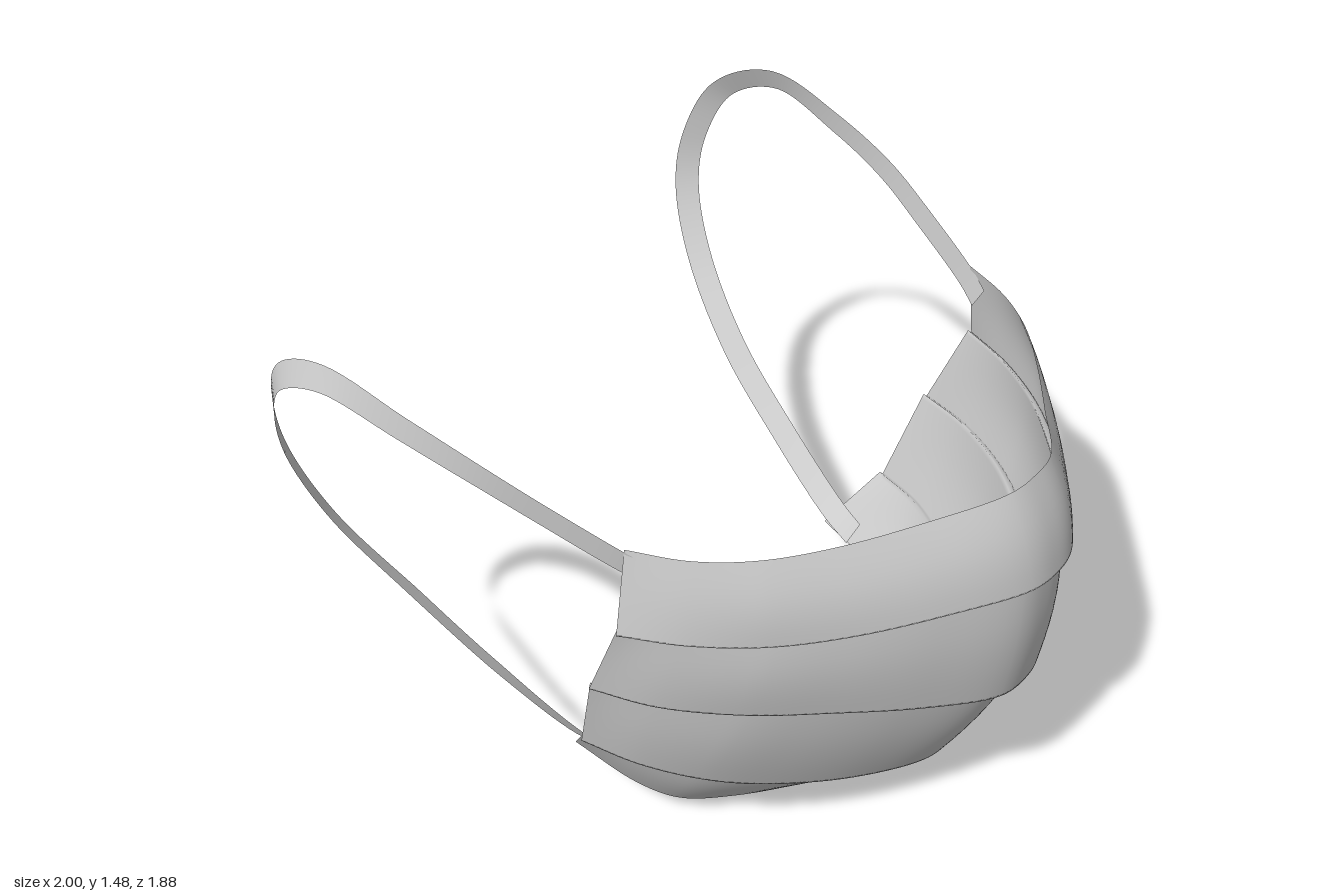
import * as THREE from 'three';

const material = new THREE.MeshStandardMaterial({ color: 0xcccccc, side: THREE.DoubleSide, roughness: 0.9 });
const V = (p) => new THREE.Vector3(...p);

// Right-to-left rails, each given from the centre line to the side edge
const rails = [
  // top edge
  [[0, 1.2, 0.86], [0.1, 1.195, 0.845], [0.3, 1.168, 0.715], [0.5, 1.153, 0.575], [0.65, 1.153, 0.45], [0.75, 1.158, 0.32], [0.815, 1.167, 0.17]],
  // first fold
  [[0, 0.92, 0.945], [0.1, 0.92, 0.93], [0.3, 0.918, 0.81], [0.5, 0.908, 0.655], [0.66, 0.906, 0.5], [0.78, 0.91, 0.33], [0.855, 0.915, 0.165]],
  // second fold
  [[0, 0.52, 0.875], [0.1, 0.525, 0.86], [0.3, 0.565, 0.74], [0.5, 0.61, 0.58], [0.65, 0.63, 0.42], [0.77, 0.643, 0.22], [0.825, 0.655, 0.04]],
  // third fold
  [[0, 0.178, 0.655], [0.1, 0.18, 0.64], [0.3, 0.2, 0.525], [0.5, 0.245, 0.37], [0.62, 0.29, 0.25], [0.71, 0.335, 0.1], [0.75, 0.365, -0.06]],
  // bottom edge
  [[0, 0, 0.44], [0.1, 0.004, 0.415], [0.22, 0.014, 0.33], [0.4, 0.035, 0.205], [0.53, 0.07, 0.1], [0.595, 0.125, 0], [0.625, 0.2, -0.19]],
].map((half) => new THREE.CatmullRomCurve3(
  [...half.slice(1).reverse().map(([x, y, z]) => V([-x, y, z])), ...half.map(V)]));

function gridGeometry(rows) {
  const n = rows[0].length;
  const index = [];
  for (let r = 0; r < rows.length - 1; r++) {
    for (let c = 0; c < n - 1; c++) {
      const a = r * n + c, b = a + n;
      index.push(a, b, a + 1, a + 1, b, b + 1);
    }
  }
  const geometry = new THREE.BufferGeometry().setFromPoints(rows.flat());
  geometry.setIndex(index);
  geometry.computeVertexNormals();
  return geometry;
}

// Pleated sheet: every panel starts tucked behind the fold above it
function createMask() {
  const steps = [0, 0.05, 0.12, 0.22, 0.34, 0.46, 0.58, 0.7, 0.8, 0.88, 0.94, 0.98, 1];
  const columns = 96;
  const rows = [];
  for (let k = 0; k < rails.length - 1; k++) {
    for (const t of steps) {
      const row = [];
      for (let c = 0; c <= columns; c++) {
        const u = c / columns;
        const tangent = rails[k].getTangent(u);
        const normal = new THREE.Vector3(-tangent.z, 0, tangent.x).normalize();
        const middle = Math.sin(Math.PI * u);
        const start = rails[k].getPoint(u);
        if (k > 0) {
          start.addScaledVector(normal, -0.012 - 0.018 * middle);
          start.y += 0.012 + 0.018 * middle;
        }
        const p = start.lerp(rails[k + 1].getPoint(u), t);
        p.addScaledVector(normal, Math.sin(Math.PI * t) * 0.016 * Math.min(1, 2 * middle));
        row.push(p);
      }
      rows.push(row);
    }
  }
  const mesh = new THREE.Mesh(gridGeometry(rows), material);
  mesh.name = 'pleatedMask';
  return mesh;
}

// Flat ear loop: x, y, z and tilt of the ribbon along its path
const loopPath = [
  [0.785, 1.09, 0.22, 0], [0.815, 1.125, 0.16, 0], [0.88, 1.225, -0.03, 0], [0.93, 1.31, -0.2, -0.05],
  [0.965, 1.385, -0.4, -0.15], [0.985, 1.45, -0.64, -0.35], [0.965, 1.375, -0.82, -0.6],
  [0.925, 1.21, -0.9, -0.75], [0.89, 1.05, -0.905, -0.8], [0.835, 0.845, -0.82, -0.85],
  [0.755, 0.62, -0.63, -0.95], [0.695, 0.42, -0.4, -0.95], [0.635, 0.255, -0.17, -0.8], [0.605, 0.215, -0.07, -0.6],
];

function createEarLoop(side) {
  const path = new THREE.CatmullRomCurve3(loopPath.map(([x, y, z]) => V([x * side, y, z])));
  const segments = 120, halfWidth = 0.037;
  const edges = [[], []];
  for (let i = 0; i <= segments; i++) {
    const t = i / segments;
    const f = t * (loopPath.length - 1);
    const j = Math.min(Math.floor(f), loopPath.length - 2);
    const tilt = THREE.MathUtils.lerp(loopPath[j][3], loopPath[j + 1][3], f - j);
    const p = path.getPoint(t);
    const tangent = path.getTangent(t);
    // outward direction in the plane of the loop, leaned towards x by the tilt
    const width = new THREE.Vector3(0, -tangent.z, tangent.y).normalize().multiplyScalar(Math.cos(tilt));
    width.x = Math.sin(tilt) * side;
    edges[0].push(p.clone().addScaledVector(width, halfWidth));
    edges[1].push(p.clone().addScaledVector(width, -halfWidth));
  }
  if (side > 0) edges.reverse();
  const mesh = new THREE.Mesh(gridGeometry(edges), material);
  mesh.name = side > 0 ? 'leftEarLoop' : 'rightEarLoop';
  return mesh;
}

export function createModel() {
  const group = new THREE.Group();
  group.name = 'faceMask';
  group.add(createMask(), createEarLoop(1), createEarLoop(-1));
  return group;
}
